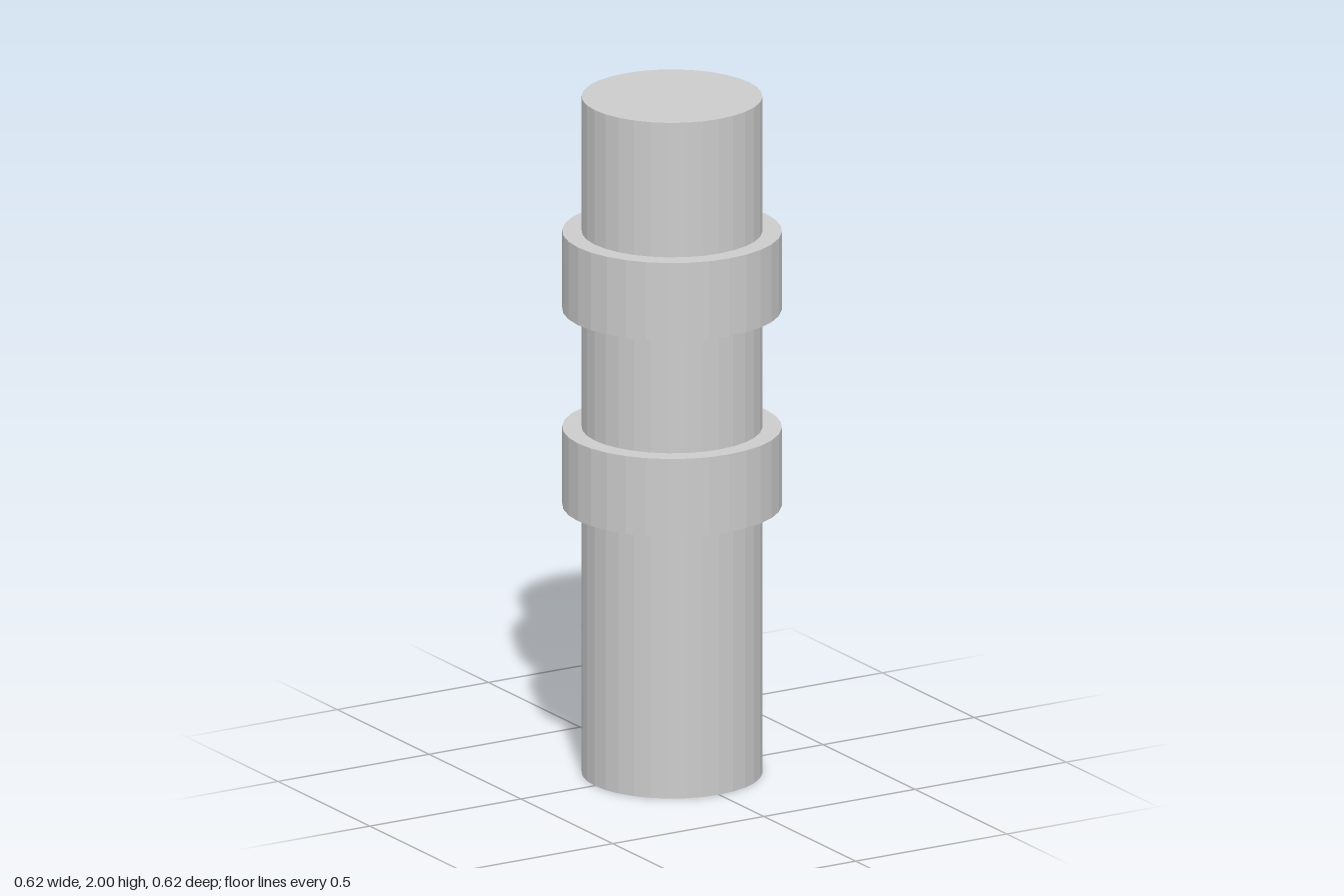
import * as THREE from 'three';

const SIDES = 32;

export function createModel() {
  const group = new THREE.Group();
  const material = new THREE.MeshStandardMaterial({ color: 0xcccccc, flatShading: true });

  // Upright faceted cylinder between two heights
  const addCylinder = (name, radius, bottom, top) => {
    const height = top - bottom;
    const mesh = new THREE.Mesh(new THREE.CylinderGeometry(radius, radius, height, SIDES), material);
    mesh.name = name;
    mesh.position.y = bottom + height / 2;
    group.add(mesh);
  };

  // Solid shaft
  addCylinder('shaft', 0.256, 0, 2);

  // Two raised collars around the shaft
  addCylinder('lowerCollar', 0.311, 0.792, 1.022);
  addCylinder('upperCollar', 0.311, 1.372, 1.602);

  return group;
}
